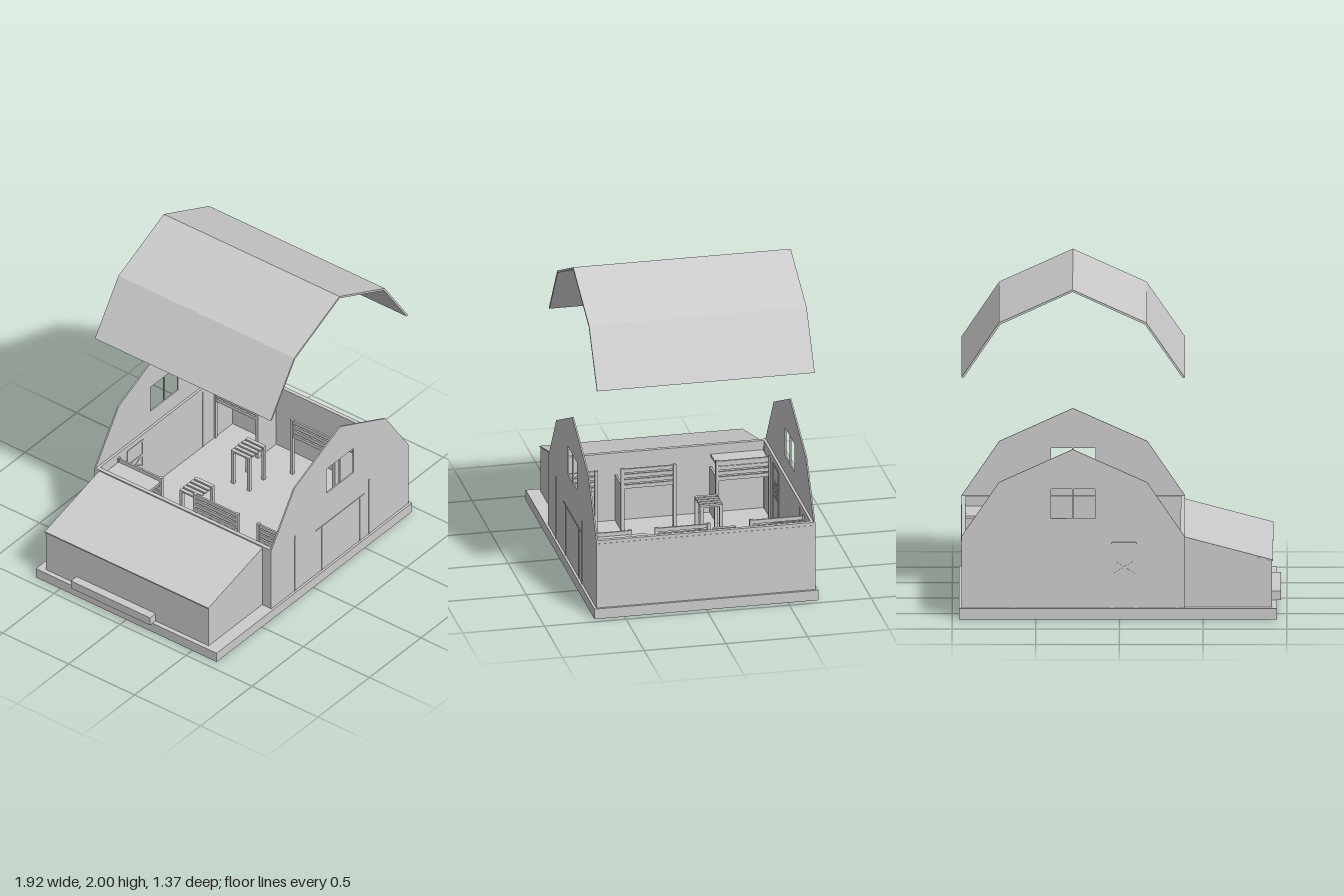
import * as THREE from 'three';

const mat = new THREE.MeshStandardMaterial({ color: 0xcccccc, flatShading: true, side: THREE.DoubleSide });
const CX = 0.28; // barn centre line
const FLOOR = 0.065;

export function createModel() {
  const root = new THREE.Group();

  const add = (name, geo, parent = root) => {
    const m = new THREE.Mesh(geo, mat);
    m.name = name;
    parent.add(m);
    return m;
  };
  // box given by its min and max corners
  const box = (name, x0, x1, y0, y1, z0, z1, parent) => {
    const g = new THREE.BoxGeometry(x1 - x0, y1 - y0, z1 - z0);
    g.translate((x0 + x1) / 2, (y0 + y1) / 2, (z0 + z1) / 2);
    return add(name, g, parent);
  };
  const shapeOf = pts => new THREE.Shape(pts.map(p => new THREE.Vector2(p[0], p[1])));
  const extrude = (name, shape, z0, z1) => {
    const g = new THREE.ExtrudeGeometry(shape, { depth: z1 - z0, bevelEnabled: false });
    g.translate(0, 0, z0);
    return add(name, g);
  };
  // flat board between two points of a wall
  const brace = (name, x0, y0, x1, y1, z, parent) => {
    const m = add(name, new THREE.BoxGeometry(Math.hypot(x1 - x0, y1 - y0), 0.012, 0.006), parent);
    m.position.set((x0 + x1) / 2, (y0 + y1) / 2, z);
    m.rotation.z = Math.atan2(y1 - y0, x1 - x0);
  };

  // base slab
  box('base', -0.94, 0.96, 0, FLOOR, -0.685, 0.685);

  // gable walls with a two-pane window opening
  const gable = shapeOf([[-0.39, FLOOR], [0.945, FLOOR], [0.945, 0.5], [0.72, 0.83],
    [CX, 1.03], [-0.165, 0.83], [-0.39, 0.5]]);
  for (const [x0, x1] of [[0.145, 0.276], [0.284, 0.41]]) {
    gable.holes.push(new THREE.Path([[x0, 0.61], [x0, 0.79], [x1, 0.79], [x1, 0.61]]
      .map(p => new THREE.Vector2(p[0], p[1]))));
  }
  for (const [name, z0] of [['frontGable', 0.661], ['backGable', -0.67]]) {
    extrude(name, gable, z0, z0 + 0.009);
  }

  // inner wall lining and long side walls
  box('frontLining', -0.37, 0.925, FLOOR, 0.5, 0.645, 0.662);
  box('backLining', -0.37, 0.925, FLOOR, 0.5, -0.662, -0.645);
  box('rightWall', -0.39, -0.365, FLOOR, 0.5, -0.669, 0.669);
  box('leftWall', 0.92, 0.945, FLOOR, 0.5, -0.669, 0.669);
  box('leftWallStrip', 0.944, 0.947, 0.472, 0.48, -0.66, 0.66);

  // lifted gambrel roof, a folded sheet
  const outer = [[-0.39, 1.467], [-0.16, 1.8], [CX, 2], [0.72, 1.8], [0.945, 1.467]];
  const inner = [[0.932, 1.465], [0.712, 1.789], [CX, 1.987], [-0.152, 1.789], [-0.377, 1.465]];
  extrude('roof', shapeOf([...outer, ...inner]), -0.667, 0.665);

  // lean-to with a sloping roof
  extrude('leanTo', shapeOf([[-0.91, FLOOR], [-0.39, FLOOR], [-0.39, 0.485], [-0.91, 0.345]]), -0.632, 0.602);
  extrude('leanToRoof', shapeOf([[-0.918, 0.344], [-0.39, 0.484], [-0.39, 0.492], [-0.918, 0.352]]), -0.635, 0.605);

  // water trough
  box('trough', -0.965, -0.91, FLOOR, 0.12, -0.4, 0.2);

  // sliding front door, its track and wall battens, on both faces of the wall
  for (const z of [0.671, 0.644]) {
    const d = new THREE.Group();
    d.name = 'slidingDoor';
    root.add(d);
    box('doorTrack', 0.045, 0.51, 0.385, 0.393, z - 0.003, z + 0.003, d);
    for (const x of [0.1, 0.47]) box('doorEdge', x - 0.004, x + 0.004, FLOOR, 0.385, z - 0.003, z + 0.003, d);
    for (const x of [-0.16, 0.56]) box('batten', x - 0.004, x + 0.004, FLOOR, 0.47, z - 0.003, z + 0.003, d);
  }

  // split back door with a cross-braced upper leaf, on both faces of the wall
  for (const z of [-0.671, -0.644]) {
    const d = new THREE.Group();
    d.name = 'backDoor';
    root.add(d);
    for (const x of [-0.1, 0.045]) box('doorStile', x - 0.006, x + 0.006, FLOOR, 0.46, z - 0.003, z + 0.003, d);
    for (const y of [0.265, 0.355, 0.46]) box('doorRail', -0.1, 0.045, y - 0.006, y + 0.006, z - 0.003, z + 0.003, d);
    brace('doorBrace', -0.1, 0.265, 0.045, 0.355, z, d);
    brace('doorBrace', -0.1, 0.355, 0.045, 0.265, z, d);
    for (const x of [-0.345, 0.63]) box('batten', x - 0.004, x + 0.004, FLOOR, 0.47, z - 0.003, z + 0.003, d);
  }

  // stalls along both long walls: posts, slatted fronts and dividers
  for (const s of [-1, 1]) {
    const stalls = new THREE.Group();
    stalls.name = s < 0 ? 'rightStalls' : 'leftStalls';
    root.add(stalls);
    const xr = CX + s * 0.47, xw = CX + s * 0.645;
    const lo = Math.min(xr, xw), hi = Math.max(xr, xw);
    for (const [z0, z1] of [[-0.645, -0.32], [-0.06, 0.26], [0.42, 0.645]]) {
      for (const z of [z0, z1]) box('stallPost', xr - 0.01, xr + 0.01, FLOOR, 0.47, z - 0.01, z + 0.01, stalls);
      for (let i = 0; i < 4; i++) {
        const y = 0.34 + i * 0.034;
        box('stallSlat', xr - 0.006, xr + 0.006, y, y + 0.024, z0, z1, stalls);
      }
    }
    for (const z of [-0.32, 0.26]) box('stallDivider', lo, hi, FLOOR, 0.36, z - 0.006, z + 0.006, stalls);
    // covered corner stall
    const zd = s * 0.48;
    box('stallDeck', lo, hi, 0.425, 0.44, zd - 0.16, zd + 0.16, stalls);

    // slatted crate near the stalls
    const xc = CX + s * 0.25, zc = -0.22;
    const crate = new THREE.Group();
    crate.name = 'crate';
    root.add(crate);
    for (let i = 0; i < 5; i++) {
      const x = xc - 0.07 + i * 0.035;
      box('crateSlat', x - 0.012, x + 0.012, 0.3, 0.312, zc - 0.07, zc + 0.07, crate);
    }
    for (const dx of [-0.07, 0.07]) for (const dz of [-0.06, 0.06]) {
      box('crateLeg', xc + dx - 0.01, xc + dx + 0.01, FLOOR, 0.3, zc + dz - 0.01, zc + dz + 0.01, crate);
    }
  }
  return root;
}
